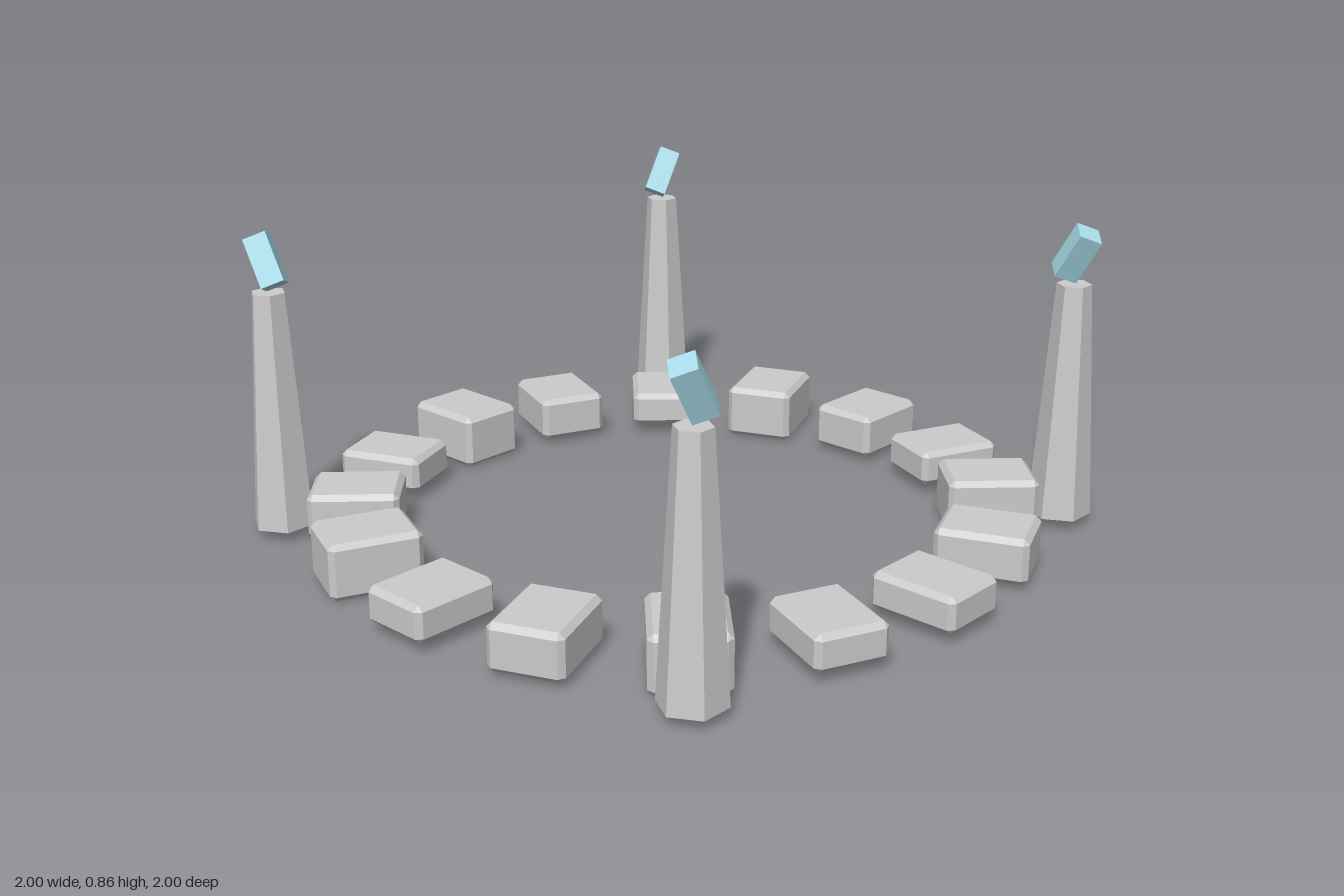
import * as THREE from 'three';
import { ConvexGeometry } from 'three/addons/geometries/ConvexGeometry.js';

const stone = new THREE.MeshStandardMaterial({ color: 0xcccccc, flatShading: true });
const crystalBlue = new THREE.MeshStandardMaterial({ color: 0xa8dcea, flatShading: true });

// Box with every edge cut by a flat chamfer c
function chamferedBox(w, h, d, c) {
  const points = [];
  for (const sx of [-1, 1]) for (const sy of [-1, 1]) for (const sz of [-1, 1]) {
    for (const [a, b, e] of [[0, c, c], [c, 0, c], [c, c, 0]]) {
      points.push(new THREE.Vector3(sx * (w / 2 - a), sy * (h / 2 - b), sz * (d / 2 - e)));
    }
  }
  return new ConvexGeometry(points);
}

function addMesh(parent, name, geometry, material) {
  const mesh = new THREE.Mesh(geometry, material);
  mesh.name = name;
  parent.add(mesh);
  return mesh;
}

export function createModel() {
  const model = new THREE.Group();
  model.name = 'stoneCircle';

  // Ring of sixteen blocks in three repeating heights
  const ring = new THREE.Group();
  ring.name = 'blockRing';
  model.add(ring);
  const blockShapes = [0.1, 0.128, 0.156].map((h) => chamferedBox(0.25, h, 0.2, 0.015));
  const count = 16, radius = 0.875;
  for (let i = 0; i < count; i++) {
    const angle = (i / count) * Math.PI * 2;
    const block = addMesh(ring, 'stoneBlock', blockShapes[i % 3], stone);
    block.position.set(Math.cos(angle) * radius, 0.078, -Math.sin(angle) * radius);
    block.rotation.y = angle;
  }

  // Four tapered hexagonal pillars, each topped by a leaning crystal
  const pillarShape = new THREE.CylinderGeometry(0.047, 0.087, 0.66, 6);
  const crystalShape = new THREE.BoxGeometry(0.064, 0.14, 0.064).rotateY(Math.PI / 4);
  [[1, 1], [1, -1], [-1, -1], [-1, 1]].forEach(([sx, sz], k) => {
    const tower = new THREE.Group();
    tower.name = 'crystalPillar';
    tower.position.set(sx * 0.763, 0, sz * 0.763);
    model.add(tower);

    addMesh(tower, 'pillar', pillarShape, stone).position.y = 0.36;

    // Each crystal leans a quarter turn further round than the last
    const crystal = addMesh(tower, 'crystal', crystalShape, crystalBlue);
    crystal.position.y = 0.774;
    crystal.rotation.set(Math.PI / 6, k * Math.PI / 2, 0, 'YXZ');
  });

  return model;
}
